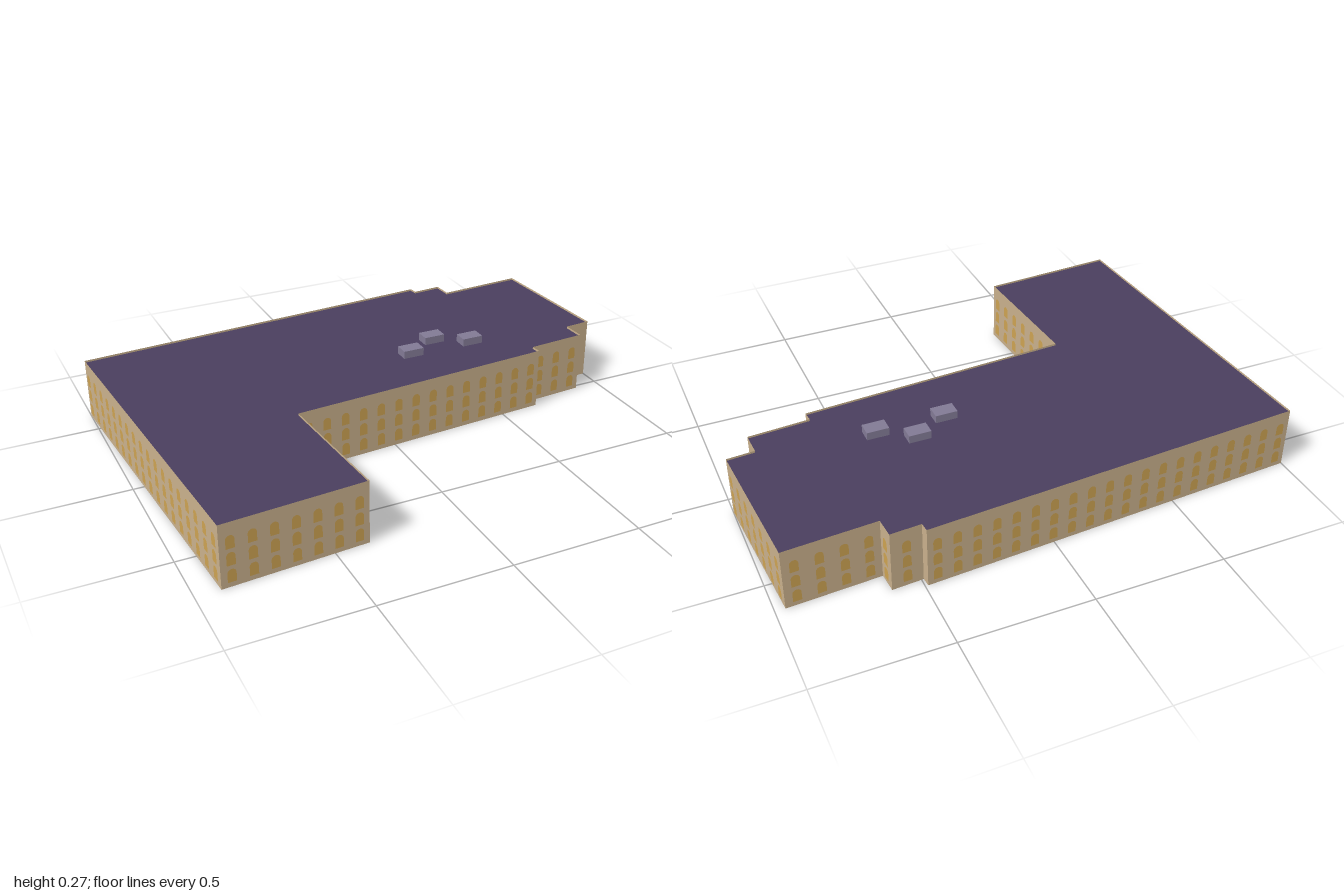
import * as THREE from 'three';
import { mergeGeometries } from 'three/addons/utils/BufferGeometryUtils.js';

const WALL_H = 0.245, ROOF_Y = 0.237;

// Building outline as [x, z], running along the back, right, front, then left
const OUTLINE = [
  [-1, -0.62], [0.489, -0.717], [0.492, -0.682], [0.609, -0.69], [0.614, -0.612],
  [0.963, -0.634], [1, -0.083], [0.893, -0.075], [0.897, 0.017], [0.658, 0.034],
  [0.662, 0.075], [-0.406, 0.147], [-0.37, 0.676], [-0.909, 0.712],
];

function material(name, color) {
  const m = new THREE.MeshStandardMaterial({ color });
  m.name = name;
  return m;
}

// Round-headed window, origin at the middle of its sill
function windowShape(w, h) {
  const r = w / 2, s = new THREE.Shape();
  s.moveTo(-r, 0);
  s.lineTo(r, 0);
  s.lineTo(r, h - r);
  s.absarc(0, h - r, r, 0, Math.PI, false);
  s.closePath();
  return s;
}

export function createModel() {
  const model = new THREE.Group();
  model.name = 'building';

  const wallMat = material('sandstone', 0xc9b08c);
  wallMat.side = THREE.DoubleSide;
  const windowMat = material('amber window', 0xcda352);
  const roofMat = material('purple roof', 0x4a3f5e);
  roofMat.side = THREE.DoubleSide;
  const unitMat = material('grey violet unit', 0x827a95);

  const add = (name, geometry, mat) => {
    const mesh = new THREE.Mesh(geometry, mat);
    mesh.name = name;
    model.add(mesh);
    return mesh;
  };

  // Walls, each with three rows of evenly spaced windows
  const walls = [], panes = [];
  const pane = new THREE.ShapeGeometry(windowShape(0.032, 0.05), 6);
  OUTLINE.forEach(([ax, az], i) => {
    const [bx, bz] = OUTLINE[(i + 1) % OUTLINE.length];
    const dx = bx - ax, dz = bz - az, len = Math.hypot(dx, dz);
    const nx = dz / len, nz = -dx / len;
    const turn = Math.atan2(nx, nz);
    walls.push(new THREE.PlaneGeometry(len, WALL_H).rotateY(turn)
      .translate((ax + bx) / 2, WALL_H / 2, (az + bz) / 2));

    const count = Math.floor(len / 0.0725);
    for (let c = 0; c < count; c++) {
      const t = (c + 0.5) / count;
      for (let row = 0; row < 3; row++) {
        panes.push(pane.clone().rotateY(turn).translate(
          ax + dx * t + nx * 0.002, 0.019 + row * 0.064, az + dz * t + nz * 0.002));
      }
    }
  });
  add('walls', mergeGeometries(walls), wallMat);
  add('windows', mergeGeometries(panes), windowMat);

  // Flat roof just below the top of the walls
  const plan = new THREE.Shape(OUTLINE.map(([x, z]) => new THREE.Vector2(x, -z)));
  add('roof', new THREE.ShapeGeometry(plan).rotateX(-Math.PI / 2), roofMat).position.y = ROOF_Y;

  // Ventilation units on the roof
  const unitH = 0.268 - ROOF_Y;
  [[0.193, -0.135], [0.327, -0.213], [0.46, -0.135]].forEach(([x, z], i) => {
    add('roofUnit' + (i + 1), new THREE.BoxGeometry(0.086, unitH, 0.057), unitMat)
      .position.set(x, ROOF_Y + unitH / 2, z);
  });

  return model;
}
